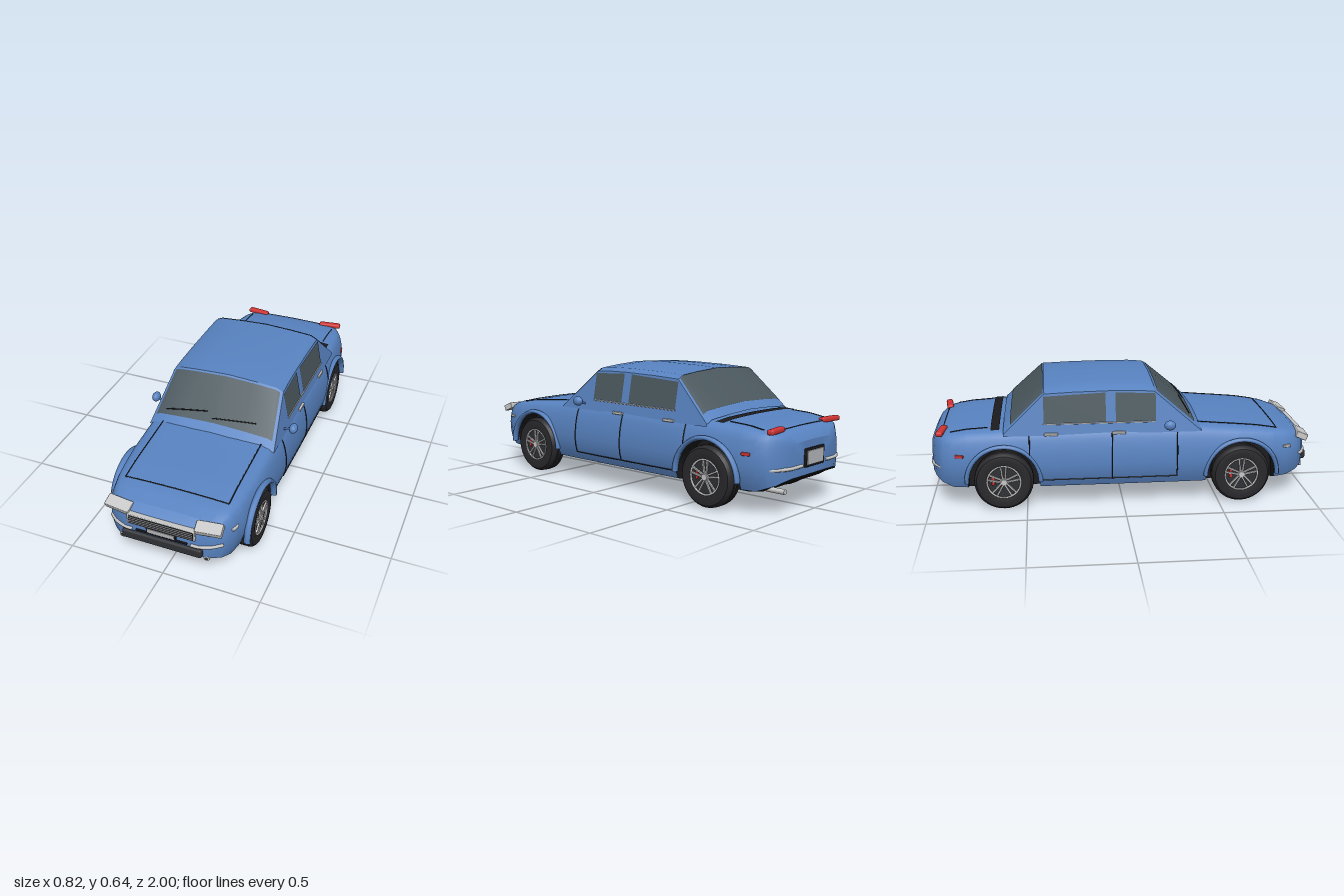
import * as THREE from 'three';
import { toCreasedNormals } from 'three/addons/utils/BufferGeometryUtils.js';
import { RoundedBoxGeometry } from 'three/addons/geometries/RoundedBoxGeometry.js';

const paint = (name, color, side = THREE.FrontSide) => {
  const m = new THREE.MeshStandardMaterial({ color, side });
  m.name = name;
  return m;
};

// piecewise linear lookup in an ascending table of [t, value]
function pw(table, t) {
  if (t <= table[0][0]) return table[0][1];
  for (let i = 1; i < table.length; i++) {
    const [a, va] = table[i - 1], [b, vb] = table[i];
    if (t <= b) return va + (vb - va) * (t - a) / (b - a);
  }
  return table[table.length - 1][1];
}

// body shape: half width, centre height, lower edge and floor along z
const WIDTH = [[-.985, .19], [-.965, .25], [-.93, .305], [-.88, .335], [-.8, .35], [-.65, .363], [-.4, .37],
  [0, .371], [.3, .369], [.6, .363], [.78, .346], [.87, .325], [.925, .295], [.96, .25], [.985, .19]];
const TOP = [[-.985, .335], [-.965, .37], [-.92, .398], [-.8, .414], [-.6, .425], [-.4, .435], [0, .438], [.37, .427],
  [.5, .415], [.7, .398], [.85, .375], [.93, .35], [.965, .325], [.985, .3]];
const EDGE = [[-.985, .17], [-.95, .145], [-.87, .115], [.8, .115], [.87, .12], [.94, .145], [.985, .168]];
const FLOOR = [[-.985, .17], [-.85, .092], [.85, .092], [.985, .165]];
const SHOULDER = [[0, 1], [.2, .995], [.35, .985], [.5, .97], [.65, .95], [.8, .92], [.87, .89], [.92, .85], [.965, .74], [.99, .4], [1, 0]];
const WAIST = .24, AXLES = [.615, -.615], ARCH = .183, HUB = .152;

const topOf = z => pw(TOP, z);
function sideX(z, y) {
  const w = pw(WIDTH, z);
  if (y < WAIST) return w * (1 - .09 * ((WAIST - y) / .13) ** 2);
  return w * pw(SHOULDER, (y - WAIST) / (topOf(z) - WAIST));
}
const INVERSE = SHOULDER.map(([h, f]) => [f, h]).reverse();
const deckY = (x, z) => WAIST + (topOf(z) - WAIST) * pw(INVERSE, Math.abs(x) / pw(WIDTH, z));
const inArch = z => AXLES.find(c => Math.abs(z - c) <= ARCH + 1e-6);
function edgeY(z) {
  const c = inArch(z);
  return c === undefined ? pw(EDGE, z) : HUB + Math.sqrt(Math.max(0, ARCH ** 2 - (z - c) ** 2));
}

// cabin shape: roof edge height along z, width by height
const RAIL = [[-.61, .402], [-.4, .597], [-.25, .603], [-.05, .606], [.08, .604], [.16, .597], [.4, .393]];
const cabinX = y => .335 - .033 * (y - .43) / .17;
const CROWN = [[0, .034], [.5, .027], [.88, .018], [1, 0]];
const cabinY = (x, z) => { const e = pw(RAIL, z); return e + pw(CROWN, Math.abs(x) / cabinX(e)); };

// skin over a list of rings of [x, y, z]
function loft(rings, crease = .6) {
  const n = rings[0].length, idx = [];
  for (let j = 0; j < rings.length - 1; j++) for (let i = 0; i < n - 1; i++) {
    const a = j * n + i, c = a + n;
    idx.push(a, a + 1, c, a + 1, c + 1, c);
  }
  const g = new THREE.BufferGeometry();
  g.setAttribute('position', new THREE.Float32BufferAttribute(rings.flat(2), 3));
  g.setIndex(idx);
  return toCreasedNormals(g, crease);
}
const mirrorRing = half => [...half, ...half.slice(0, -1).reverse().map(([x, y, z]) => [-x, y, z])];

export function createModel() {
  const car = new THREE.Group();
  car.name = 'car';
  const blue = paint('body blue', 0x5883c1, THREE.DoubleSide), glass = paint('tinted glass', 0x4b585e, THREE.DoubleSide);
  const black = paint('underbody black', 0x1b1b1e, THREE.DoubleSide), rubber = paint('tyre rubber', 0x29292d);
  const chrome = paint('chrome', 0xc6c7c6), red = paint('lamp red', 0xd03434);
  const plateGrey = paint('plate grey', 0xb4b5ba), trim = paint('dark trim', 0x303136);

  const add = (name, geo, mat, x = 0, y = 0, z = 0, parent = car) => {
    const m = new THREE.Mesh(geo, mat);
    m.name = name;
    m.position.set(x, y, z);
    parent.add(m);
    return m;
  };
  const box = (name, w, h, d, mat, x, y, z, r = .004, parent = car) =>
    add(name, new RoundedBoxGeometry(w, h, d, 2, r), mat, x, y, z, parent);
  const tube = (name, pts, r, mat, steps = 30) => add(name, new THREE.TubeGeometry(
    new THREE.CatmullRomCurve3(pts.map(p => new THREE.Vector3(...p))), steps, r, 6), mat);
  // thin line laid on a surface: corners in surface coordinates, place() maps to 3D
  const seam = (name, corners, place, r = .0028, mat = black) => {
    for (let i = 1; i < corners.length; i++) {
      const [a, b] = [corners[i - 1], corners[i]], pts = [];
      for (let k = 0; k <= 8; k++) pts.push(place(a[0] + (b[0] - a[0]) * k / 8, a[1] + (b[1] - a[1]) * k / 8));
      tube(name, pts, r, mat, 16);
    }
  };

  // body shell with open wheel arches
  const zs = [...WIDTH, ...TOP, ...EDGE].map(p => p[0]);
  for (const c of AXLES) {
    for (let k = 0; k <= 20; k++) zs.push(c + ARCH * Math.cos(Math.PI * k / 20));
    zs.push(c + ARCH + .001, c - ARCH - .001);
  }
  const stations = [...new Set(zs)].sort((a, b) => a - b);
  const bodyRings = stations.map(z => {
    const low = pw(EDGE, z), cut = edgeY(z);
    const ys = [0, .2, .4, .6, .8].map(k => low + (WAIST - low) * k)
      .concat(SHOULDER.map(p => WAIST + (topOf(z) - WAIST) * p[0]));
    return mirrorRing(ys.map(y => Math.max(y, cut)).map(y => [sideX(z, y), y, z]));
  });
  const cap = ring => ring.map(p => [0, ring[0][1], p[2]]);
  bodyRings.unshift(cap(bodyRings[0]));
  bodyRings.push(cap(bodyRings[bodyRings.length - 1]));
  add('bodyShell', loft(bodyRings, .5), blue);

  // underbody and wheel wells
  add('underbody', loft(stations.map(z => {
    const y = edgeY(z), f = Math.min(pw(FLOOR, z), pw(EDGE, z)), x = sideX(z, y), inner = Math.min(.25, x * .8);
    return mirrorRing([[-x, y, z], [-inner, inArch(z) === undefined ? f : y, z], [-inner, f, z], [0, f, z]]);
  }), .2), black);

  // cabin
  const cabinZ = RAIL.map(p => p[0]);
  add('cabin', loft(cabinZ.map(z => {
    const e = pw(RAIL, z), w = cabinX(e);
    return mirrorRing([[cabinX(.39), .39, z], [w, e, z], ...[.88, .5, 0].map(f => [w * f, cabinY(w * f, z), z])]);
  }), .45), blue);
  const screen = (name, z0, z1, f) => add(name, loft([z0, z1].map(z => {
    const w = cabinX(pw(RAIL, z));
    return mirrorRing([f, .88, .5, 0].map(k => [w * k, cabinY(w * k, z) + .005, z]));
  })), glass);
  screen('windscreen', .172, .365, .95);
  screen('rearWindow', -.575, -.405, .97);
  add('rearDeckVent', loft([-.675, -.63].map(z => mirrorRing([.3, .2, .1, 0].map(x => [x, deckY(x, z) + .004, z])))), black);
  const wiperAt = (x, z) => [x, cabinY(x, z) + .009, z];
  seam('wiper', [[-.27, .345], [-.045, .325]], wiperAt, .003);
  seam('wiper', [[-.01, .35], [.22, .325]], wiperAt, .003);

  // bonnet and boot lines
  const onDeck = (x, z) => [x, deckY(x, z) + .001, z];
  seam('bonnetLine', [[-.27, .38], [-.27, .81], [.27, .81], [.27, .38]], onDeck);
  for (const x of [-.26, .26]) seam('bootLine', [[x, -.69], [x, -.88]], onDeck);
  seam('bootEdge', [[-.26, -.925], [.26, -.925]], onDeck, .002);

  for (const s of [1, -1]) {
    // side windows
    for (const [front, back, yf, yb] of [[.165, -.04, .588, .598], [-.09, -.405, .598, .585]]) {
      const at = (z, y) => [s * (cabinX(y) + .003), y, z];
      add('sideWindow', loft([[at(back, .452), at(back, yb)], [at(front, .452), at(front, yf)]]), glass);
    }
    box('beltStrip', .008, .006, .57, chrome, s * .334, .447, -.123, .002);

    // door lines, handles and side markers
    const onSide = (z, y) => [s * (sideX(z, y) + .001), y, z];
    seam('doorLine', [[.275, .415], [.275, .155], [-.42, .155]], onSide);
    seam('doorLine', [[-.06, .415], [-.06, .155]], onSide);
    seam('doorLine', [[-.48, .415], [-.48, .29]], onSide);
    for (const z of [-.025, -.37]) box('doorHandle', .014, .014, .07, chrome, s * (sideX(z, .396) + .004), .396, z);
    box('frontMarker', .014, .014, .045, chrome, s * sideX(.86, .288), .288, .86).rotation.y = -s * .22;
    box('rearMarker', .014, .016, .045, red, s * sideX(-.835, .29), .29, -.835).rotation.y = s * .22;

    // wing mirror
    add('mirror', new THREE.SphereGeometry(.024, 16, 12), blue, s * .386, .44, .23).scale.set(.9, 1.05, 1.25);
    tube('mirrorArm', [[s * .32, .422, .23], [s * .35, .427, .23], [s * .38, .437, .23]], .006, blue, 6);

    // head lamp, tail lamp, fog lamp, bumper strips
    const lamp = box('headLamp', .13, .034, .06, chrome, s * .231, .327, .952);
    lamp.rotation.set(.4, s * .1, 0);
    const tail = box('tailLamp', .128, .026, .036, red, s * .234, .395, -.927, .01);
    tail.rotation.y = s * .14;
    const fog = add('fogLamp', new THREE.CylinderGeometry(.015, .015, .03, 16), chrome, s * .22, .152, .955);
    fog.rotation.x = Math.PI / 2;
    add('fogLampLens', new THREE.CircleGeometry(.009, 16), trim, s * .22, .152, .971);
    for (const [name, e, y, x0] of [['frontBumperStrip', 1, .228, .15], ['rearBumperStrip', -1, .218, .1]])
      tube(name, [[s * x0, y, e * .986], [s * .19, y, e * .984], [s * .245, y, e * .964], [s * .29, y, e * .93]], .009, chrome);

    // wheels and arch flares
    for (const z of AXLES) {
      const flare = add('archFlare', new THREE.TorusGeometry(.188, .012, 6, 28, Math.PI), blue, s * .358, HUB, z);
      flare.rotation.y = Math.PI / 2;
      flare.scale.z = 1.5;
      const wheel = new THREE.Group();
      wheel.name = 'wheel';
      wheel.position.set(s * .315, HUB, z);
      wheel.rotation.y = s > 0 ? 0 : Math.PI;
      car.add(wheel);
      const tread = [[.088, -.046], [.115, -.051], [.138, -.047], [.15, -.033], [.152, -.016], [.146, -.014], [.146, -.01],
        [.152, -.008], [.152, .008], [.146, .01], [.146, .014], [.152, .016], [.15, .033], [.138, .047], [.115, .051], [.088, .046]];
      const tyre = new THREE.LatheGeometry(tread.map(p => new THREE.Vector2(...p)), 40);
      add('tyre', toCreasedNormals(tyre, .6), rubber, 0, 0, 0, wheel).rotation.z = -Math.PI / 2;
      add('wheelDisc', new THREE.CylinderGeometry(.09, .09, .07, 32), trim, 0, 0, 0, wheel).rotation.z = -Math.PI / 2;
      add('rimRing', new THREE.TorusGeometry(.085, .005, 8, 36), chrome, .044, 0, 0, wheel).rotation.y = Math.PI / 2;
      add('hubCap', new THREE.CylinderGeometry(.016, .02, .02, 16), chrome, .042, 0, 0, wheel).rotation.z = -Math.PI / 2;
      box('brakeCaliper', .008, .045, .016, red, .036, .005, .055, .003, wheel);
      for (let k = 0; k < 5; k++) {
        const spoke = new THREE.Group();
        spoke.name = 'spoke';
        spoke.rotation.x = k * Math.PI * 2 / 5;
        wheel.add(spoke);
        for (const t of [1, -1]) box('spokeBar', .01, .075, .009, chrome, .042, .048, t * .01, .002, spoke).rotation.x = t * .12;
      }
    }
  }

  // grille
  box('grilleFrame', .35, .058, .03, chrome, 0, .291, .978);
  box('grilleBack', .332, .046, .012, black, 0, .291, .989, .002);
  for (let k = 0; k < 4; k++) box('grilleSlat', .328, .005, .008, plateGrey, 0, .275 + k * .0107, .994, .002);

  // front plate and bumper
  box('frontPlateFrame', .155, .036, .016, black, 0, .251, .986);
  box('frontPlate', .14, .025, .006, plateGrey, 0, .251, .994, .002);
  box('bumperLine', .265, .009, .014, black, 0, .231, .986, .003);
  box('frontBumper', .412, .05, .06, trim, 0, .192, .97, .012);

  // rear plate and exhaust
  box('rearPlateFrame', .165, .09, .02, black, 0, .252, -.985);
  box('rearPlate', .142, .068, .007, plateGrey, 0, .252, -.9955, .002);
  add('exhaust', new THREE.CylinderGeometry(.013, .013, .1, 16), chrome, .235, .118, -.935).rotation.x = Math.PI / 2;
  return car;
}
